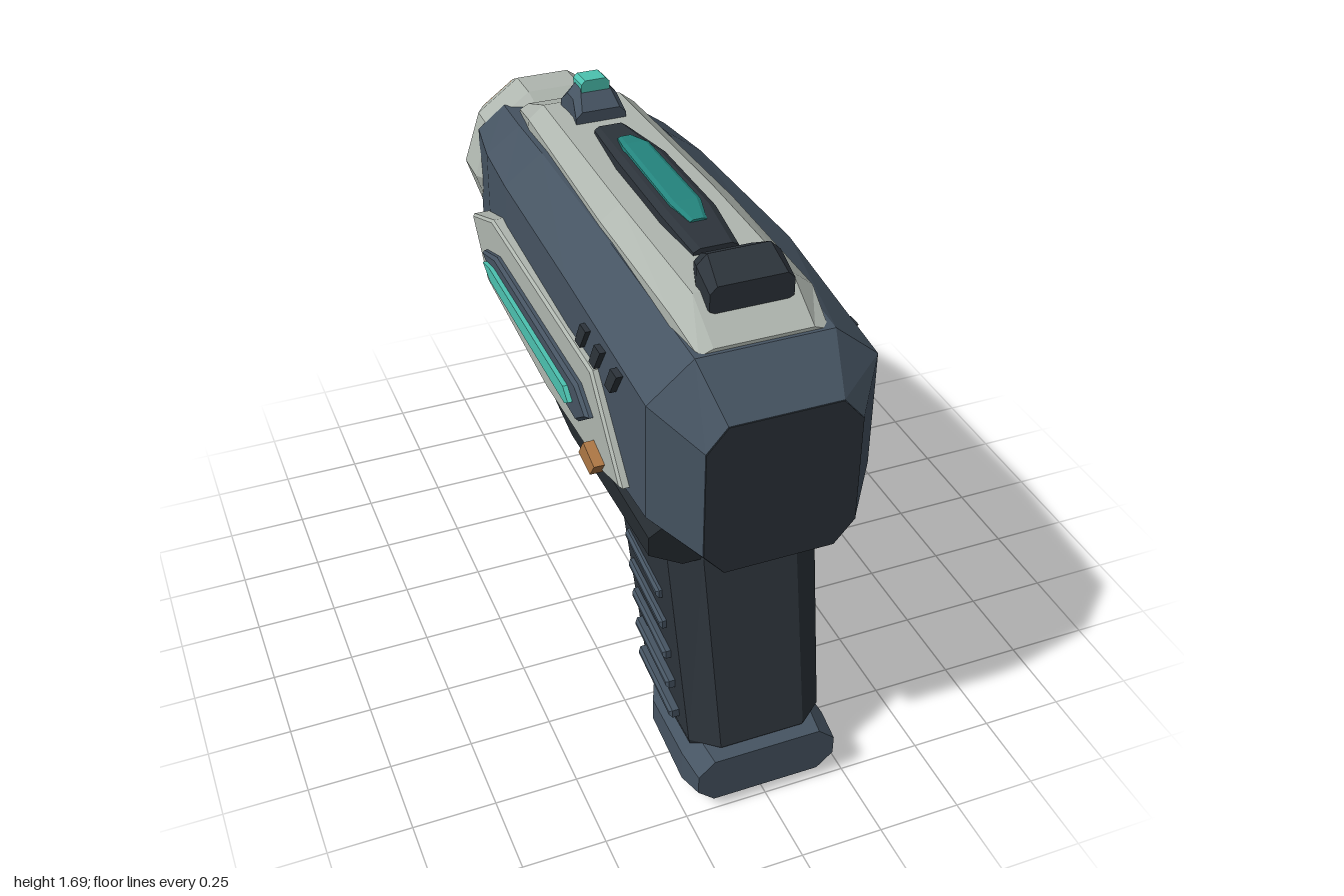
import * as THREE from 'three';

const paint = (name, color) => {
  const m = new THREE.MeshStandardMaterial({ color });
  m.name = name;
  return m;
};

// Faceted skin through equal-length rings, each a list of [x, y, z]
function loft(rings, caps = true) {
  const pos = [];
  const tri = (a, b, c) => pos.push(...a, ...b, ...c);
  const n = rings[0].length;
  for (let i = 0; i + 1 < rings.length; i++) {
    for (let j = 0; j < n; j++) {
      const k = (j + 1) % n;
      const [a, b, c, d] = [rings[i][j], rings[i][k], rings[i + 1][k], rings[i + 1][j]];
      tri(a, b, c);
      tri(a, c, d);
    }
  }
  if (caps) {
    const s = rings[0], e = rings[rings.length - 1];
    for (let j = 1; j + 1 < n; j++) {
      tri(s[0], s[j + 1], s[j]);
      tri(e[0], e[j], e[j + 1]);
    }
  }
  const g = new THREE.BufferGeometry();
  g.setAttribute('position', new THREE.Float32BufferAttribute(pos, 3));
  g.computeVertexNormals();
  return g;
}

// Chamfered rectangle: z, half width, low y, high y, chamfer width, low and high chamfer heights
const oct = ([z, w, y0, y1, c, lo, hi = lo]) => [
  [w - c, y0, z], [w, y0 + lo, z], [w, y1 - hi, z], [w - c, y1, z],
  [c - w, y1, z], [-w, y1 - hi, z], [-w, y0 + lo, z], [c - w, y0, z]];

// Ten-sided ring round the barrel axis
const round = ([z, r]) => Array.from({ length: 10 }, (_, i) => {
  const a = i * Math.PI / 5;
  return [r * Math.cos(a), 1.225 + r * Math.sin(a), z];
});

// Side outline of [z, y] points given thickness from x0 to x1
function plate(points, x0, x1, bevel = 0) {
  const shape = new THREE.Shape(points.map(([z, y]) => new THREE.Vector2(-z, y)));
  const g = new THREE.ExtrudeGeometry(shape, {
    depth: x1 - x0 - 2 * bevel, bevelEnabled: bevel > 0, bevelSegments: 1,
    bevelThickness: bevel, bevelSize: bevel, bevelOffset: -bevel });
  return g.rotateY(Math.PI / 2).translate(x0 + bevel, 0, 0);
}

export function createModel() {
  const model = new THREE.Group();
  const steel = paint('steel blue', 0x465462);
  const dark = paint('charcoal', 0x2d343b);
  const black = paint('dark charcoal', 0x252b30);
  const pale = paint('pale grey', 0xafb6af);
  const glow = paint('bright teal', 0x4cc2b0);
  const teal = paint('deep teal', 0x24847d);
  const copper = paint('copper', 0xae7845);

  const add = (name, geometry, material) => {
    const m = new THREE.Mesh(geometry, material);
    m.name = name;
    model.add(m);
  };
  const both = (name, points, x0, x1, material, bevel) => {
    add(name + 'Left', plate(points, x0, x1, bevel), material);
    add(name + 'Right', plate(points, -x1, -x0, bevel), material);
  };

  // Main shell and rear plate
  add('body', loft([
    [-0.81, 0.25, 1.0, 1.44, 0.09, 0.06, 0.07],
    [-0.55, 0.30, 0.97, 1.49, 0.11, 0.07, 0.08],
    [-0.3, 0.32, 0.95, 1.515, 0.12, 0.07, 0.09],
    [0.3, 0.335, 0.94, 1.525, 0.13, 0.07, 0.09],
    [0.86, 0.325, 0.93, 1.495, 0.13, 0.1, 0.11],
    [0.997, 0.22, 0.9, 1.37, 0.06, 0.07],
  ].map(oct)), steel);
  add('rearPlate', loft([0.994, 1].map(z => oct([z, 0.219, 0.901, 1.369, 0.06, 0.07]))), dark);
  add('underBody', loft([
    [-0.76, 0.2, 0.91, 1.03, 0.04, 0.04],
    [-0.55, 0.26, 0.81, 1.03, 0.1, 0.08],
    [0.2, 0.3, 0.76, 1.0, 0.1, 0.08],
    [0.82, 0.3, 0.8, 0.98, 0.1, 0.06],
  ].map(oct)), black);

  // Top rail
  add('topRail', loft([
    [-0.7, 0.14, 1.43, 1.485, 0.03, 0.01, 0.015],
    [-0.5, 0.175, 1.44, 1.57, 0.05, 0.01, 0.04],
    [0.2, 0.2, 1.45, 1.585, 0.06, 0.01, 0.045],
    [0.71, 0.2, 1.45, 1.588, 0.06, 0.01, 0.05],
    [0.85, 0.18, 1.44, 1.505, 0.04, 0.01, 0.015],
  ].map(oct)), pale);
  add('topLightFrame', loft([
    [-0.25, 0.05, 1.56, 1.595, 0.015, 0.01],
    [0, 0.075, 1.56, 1.62, 0.02, 0.01],
    [0.35, 0.08, 1.56, 1.622, 0.02, 0.01],
    [0.54, 0.065, 1.56, 1.605, 0.02, 0.01],
  ].map(oct)), dark);
  add('topLight', loft([
    [-0.12, 0.025, 1.59, 1.619, 0.01, 0.005],
    [-0.04, 0.04, 1.59, 1.635, 0.012, 0.006],
    [0.33, 0.045, 1.59, 1.635, 0.012, 0.006],
    [0.42, 0.025, 1.59, 1.622, 0.01, 0.005],
  ].map(oct)), teal);

  // Sights
  add('rearSight', loft([
    [0.6, 0.09, 1.55, 1.63, 0.02, 0.01, 0.02],
    [0.68, 0.118, 1.55, 1.675, 0.03, 0.01, 0.03],
    [0.77, 0.118, 1.55, 1.63, 0.02, 0.01, 0.02],
  ].map(oct)), dark);
  add('frontSight', loft([
    [-0.48, 0.075, 1.54, 1.61, 0.02, 0.01, 0.02],
    [-0.43, 0.07, 1.54, 1.662, 0.025, 0.01, 0.03],
    [-0.38, 0.07, 1.54, 1.662, 0.025, 0.01, 0.03],
    [-0.325, 0.08, 1.54, 1.61, 0.02, 0.01, 0.02],
  ].map(oct)), steel);
  add('sightBead', loft([
    [-0.445, 0.045, 1.64, 1.685, 0.012, 0.005, 0.012],
    [-0.37, 0.045, 1.64, 1.69, 0.012, 0.005, 0.012],
  ].map(oct)), glow);

  // Muzzle
  add('muzzle', loft([[-0.992, 0.225], [-0.89, 0.278], [-0.77, 0.28], [-0.71, 0.24]].map(round), false), pale);
  add('muzzleRing', loft([[-1, 0.145], [-1, 0.222], [-0.992, 0.225]].map(round), false), copper);
  add('bore', loft([[-0.87, 0.105], [-1, 0.145]].map(round), false), steel);
  add('muzzleLens', loft([[-0.875, 0.112], [-0.865, 0.112]].map(round)), glow);

  // Side panels with light strips, buttons and vents
  both('sidePanel', [[0.75, 1.05], [0.62, 1.01], [0.15, 0.985], [-0.43, 1.03],
    [-0.57, 1.2], [-0.35, 1.29], [0.53, 1.29]], 0.27, 0.354, pale, 0.008);
  both('sideLightFrame', [[0.55, 1.15], [0.46, 1.08], [-0.28, 1.1],
    [-0.41, 1.155], [-0.27, 1.205], [0.46, 1.205]], 0.33, 0.375, steel, 0.01);
  both('sideLight', [[0.44, 1.135], [0.41, 1.115], [-0.28, 1.12],
    [-0.35, 1.15], [-0.28, 1.165], [0.4, 1.165]], 0.36, 0.389, glow);
  both('sideButton', [[0.635, 1.05], [0.6, 1.0], [0.51, 1.015], [0.55, 1.075]], 0.33, 0.385, copper);
  [0, 0.12, 0.23].forEach((d, i) => both('vent' + (i + 1), [[0.71 - d, 1.38], [0.66 - d, 1.3],
    [0.62 - d, 1.3], [0.665 - d, 1.38]], 0.3, 0.347, dark));

  // Grip, lofted upward with its depth running front to back
  add('grip', loft([
    [0.04, 0.16, -0.9, -0.575, 0.07, 0.05],
    [0.2, 0.205, -0.96, -0.52, 0.075, 0.06],
    [0.8, 0.225, -0.825, -0.325, 0.085, 0.06],
    [0.95, 0.225, -0.79, -0.3, 0.085, 0.06],
  ].map(oct)).rotateX(-Math.PI / 2), dark);
  for (let i = 0; i < 5; i++) {
    const y = 0.635 - i * 0.093, z = 0.595 + i * 0.027;
    both('gripRib' + (i + 1), [[z + 0.127, y - 0.032], [z - 0.125, y + 0.003],
      [z - 0.125, y + 0.028], [z + 0.127, y - 0.005]], 0.17, 0.236, steel, 0.008);
  }
  add('gripBase', loft([
    [0.57, 0.18, 0.06, 0.185, 0.05, 0.04],
    [0.66, 0.22, 0.015, 0.19, 0.05, 0.05],
    [0.9, 0.225, 0, 0.2, 0.05, 0.05],
    [1, 0.215, 0.04, 0.19, 0.05, 0.045],
  ].map(oct)), steel);

  // Trigger and its guard
  add('triggerGuard', plate([[0.48, 0.56], [0.48, 0.45], [0.09, 0.4], [-0.26, 0.505], [-0.42, 0.82],
    [-0.29, 0.82], [-0.195, 0.59], [0.09, 0.515]], -0.075, 0.075, 0.03), steel);
  add('trigger', plate([[0.26, 0.635], [0.205, 0.61], [0.08, 0.8], [0.16, 0.8]], -0.035, 0.035, 0.01), copper);
  return model;
}
